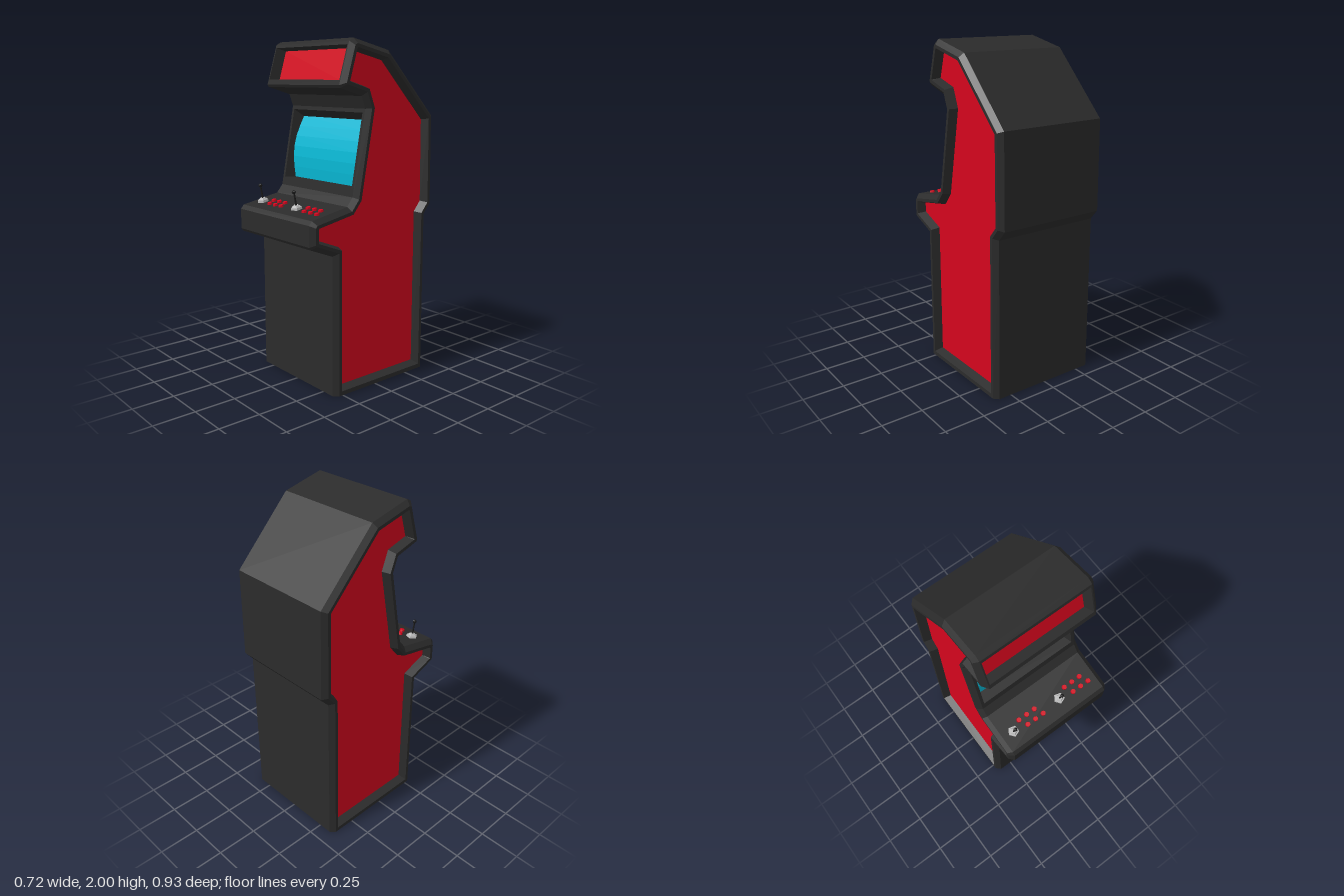
import * as THREE from 'three';

const mat = (name, color) => {
  const m = new THREE.MeshStandardMaterial({ color, flatShading: true });
  m.name = name;
  return m;
};
const V = (x, y, z) => new THREE.Vector3(x, y, z);

// Cabinet side profile as [z, y, corner chamfer], from the front foot up, over the top and down the back
const profile = [
  [0.305, 0, 0], [0.305, 0.82, 0], [0.467, 0.883, 0.012], [0.467, 1.034, 0.02], [0.2, 1.086, 0], [0.16, 1.135, 0],
  [0.07, 1.62, 0], [0.097, 1.69, 0], [0.262, 1.737, 0.012], [0.182, 2.004, 0.024], [-0.1, 1.94, 0],
  [-0.46, 1.57, 0], [-0.466, 1.03, 0], [-0.415, 0.97, 0], [-0.415, 0, 0],
];
const SCREEN_EDGE = 5, MARQUEE_EDGE = 8, CORE = 0.333, RIM = 0.061;

// Shrinks the profile by d; the bottom edge moves by its own distance
function inset(d, bottom) {
  const n = profile.length;
  const lines = profile.map(([z, y], i) => {
    const [z2, y2] = profile[(i + 1) % n];
    const len = Math.hypot(z2 - z, y2 - y);
    const nz = -(y2 - y) / len, ny = (z2 - z) / len;
    return { nz, ny, c: nz * z + ny * y + (i === n - 1 ? bottom : d) };
  });
  return lines.map((b, i) => {
    const a = lines[(i + n - 1) % n];
    const det = a.nz * b.ny - a.ny * b.nz;
    return new THREE.Vector2((a.c * b.ny - a.ny * b.c) / det, (a.nz * b.c - a.c * b.nz) / det);
  });
}

// Corner i of an outline, cut in two where it is chamfered
function corner(points, i, scale) {
  const n = points.length, p = points[i], cut = profile[i][2];
  if (!cut) return [p];
  return [points[(i + n - 1) % n], points[(i + 1) % n]]
    .map((q) => q.clone().sub(p).setLength(cut * scale).add(p));
}

// Faceted skin across rows of points
function skin(rows, closed) {
  const pos = [];
  for (let i = 0; i < rows.length - 1; i++) {
    const a = rows[i], b = rows[i + 1], n = a.length;
    for (let j = 0; j < (closed ? n : n - 1); j++) {
      const k = (j + 1) % n;
      for (const p of [a[j], b[j], b[k], a[j], b[k], a[k]]) pos.push(p.x, p.y, p.z);
    }
  }
  const g = new THREE.BufferGeometry();
  g.setAttribute('position', new THREE.Float32BufferAttribute(pos, 3));
  g.computeVertexNormals();
  return g;
}

// Point on a front face: x, fraction t along the edge, depth behind the face
function facePoint(edge, x, t, depth) {
  const [z0, y0] = profile[edge], [z1, y1] = profile[edge + 1];
  const len = Math.hypot(z1 - z0, y1 - y0);
  return V(x, y0 + (y1 - y0) * t + (depth * (z1 - z0)) / len,
    z0 + (z1 - z0) * t - (depth * (y1 - y0)) / len);
}

export function createModel() {
  const model = new THREE.Group();
  model.name = 'arcadeCabinet';
  const black = mat('cabinetBlack', 0x2b2b2b);
  const red = mat('panelRed', 0xd4051d);
  const cyan = mat('screenCyan', 0x08b9d6);
  const grey = mat('baseGrey', 0xbcbcbc);
  const dark = mat('stickBlack', 0x1b1b1b);
  const add = (name, geometry, material, parent = model) => {
    const mesh = new THREE.Mesh(geometry, material);
    mesh.name = name;
    parent.add(mesh);
    return mesh;
  };

  // Recessed openings in the front faces
  const openings = [
    { name: 'screen', edge: SCREEN_EDGE, t0: 0.1, t1: 0.955, half: 0.315, inner: 0.296,
      lo: 0.02, hi: 0.065, depth: 0.068, bulge: 0.035, rows: 6, material: cyan },
    { name: 'marquee', edge: MARQUEE_EDGE, t0: 0.15, t1: 0.845, half: 0.325, inner: 0.308,
      lo: 0, hi: 0, depth: 0.06, bulge: 0, rows: 1, material: red },
  ];

  // Front, top, back and base surfaces, broken at the openings
  const outer = inset(0, 0);
  let run = [];
  const closeRun = () => {
    const rows = [-CORE, CORE].map((x) => run.map((p) => V(x, p.y, p.x)));
    add('cabinetBody', skin(rows, false), black);
  };
  outer.forEach((p, i) => {
    run.push(...corner(outer, i, 1));
    const o = openings.find((q) => q.edge === i);
    if (!o) return;
    const [start, end] = [o.t0, o.t1].map((t) => facePoint(i, 0, t, 0));
    run.push(new THREE.Vector2(start.z, start.y));
    closeRun();
    run = [new THREE.Vector2(end.z, end.y)];
  });
  run.push(outer[0]);
  closeRun();

  // Sloping bezels and the surfaces inside them
  for (const o of openings) {
    const ring = (w, a, b, d) => [[-w, a], [w, a], [w, b], [-w, b]]
      .map(([x, t]) => facePoint(o.edge, x, t, d));
    const a = o.t0 + o.lo, b = o.t1 - o.hi;
    add(o.name + 'Bezel', skin([
      ring(o.inner, a, b, o.depth), ring(o.half, o.t0, o.t1, 0), ring(CORE, o.t0, o.t1, 0),
    ], true), black);
    const rows = [];
    for (let i = o.rows; i >= 0; i--) {
      const s = i / o.rows, d = o.depth - o.bulge * Math.sin(Math.PI * s);
      const w = o.half - ((o.half - o.inner) * d) / o.depth;
      rows.push([-w, w].map((x) => facePoint(o.edge, x, a + (b - a) * s, d)));
    }
    add(o.name + 'Panel', skin(rows, false), o.material);
  }

  // Chamfered side frames around deep-set red panels
  const PANEL = 0.31;
  const steps = [[CORE, 0, 0], [0.36, 0.027, 0], [0.36, 0.046, 0.025], [PANEL, RIM, 0.042]];
  const panelShape = new THREE.Shape(inset(RIM, 0.042));
  for (const side of [1, -1]) {
    const name = side > 0 ? 'left' : 'right';
    const rings = steps.map(([x, d, bottom]) => {
      const points = inset(d, bottom);
      return points.flatMap((p, i) => corner(points, i, 1 - d / RIM)).map((p) => V(side * x, p.y, p.x));
    });
    if (side < 0) rings.reverse();
    add(name + 'SideFrame', skin(rings, true), black);
    const panel = new THREE.ExtrudeGeometry(panelShape, { depth: 0.004, bevelEnabled: false });
    add(name + 'SidePanel', panel.rotateY(-Math.PI / 2).translate(side * (PANEL - 0.002) + 0.002, 0, 0), red);
  }

  // Two sets of controls on the sloping deck
  const slope = 0.052 / 0.267;
  const onDeck = (name, x, z) => {
    const g = new THREE.Group();
    g.name = name;
    g.position.set(x, 1.034 + (0.467 - z) * slope, z);
    g.rotation.x = Math.atan(slope);
    model.add(g);
    return g;
  };
  const drum = (top, bottom, height, y, sides) =>
    new THREE.CylinderGeometry(top, bottom, height, sides).translate(0, y + height / 2, 0);
  [-0.26, 0.075].forEach((x0, player) => {
    const stick = onDeck('joystick' + (player + 1), x0, 0.354);
    add('joystickBase', drum(0.032, 0.034, 0.014, 0, 5).rotateY(-0.26), grey, stick);
    add('joystickCollar', drum(0.017, 0.025, 0.01, 0.014, 5).rotateY(-0.26), grey, stick);
    add('joystickShaft', drum(0.005, 0.006, 0.08, 0.02, 5), dark, stick);
    add('joystickBall', new THREE.SphereGeometry(0.012, 6, 5).translate(0, 0.101, 0), dark, stick);
    for (let row = 0; row < 2; row++) {
      for (let i = 0; i < 3; i++) {
        const button = onDeck('button', x0 + 0.065 + row * 0.028 + i * 0.056, row ? 0.37 : 0.32);
        add('buttonCap', drum(0.014, 0.016, 0.012, 0, 8), red, button);
      }
    }
  });
  return model;
}
